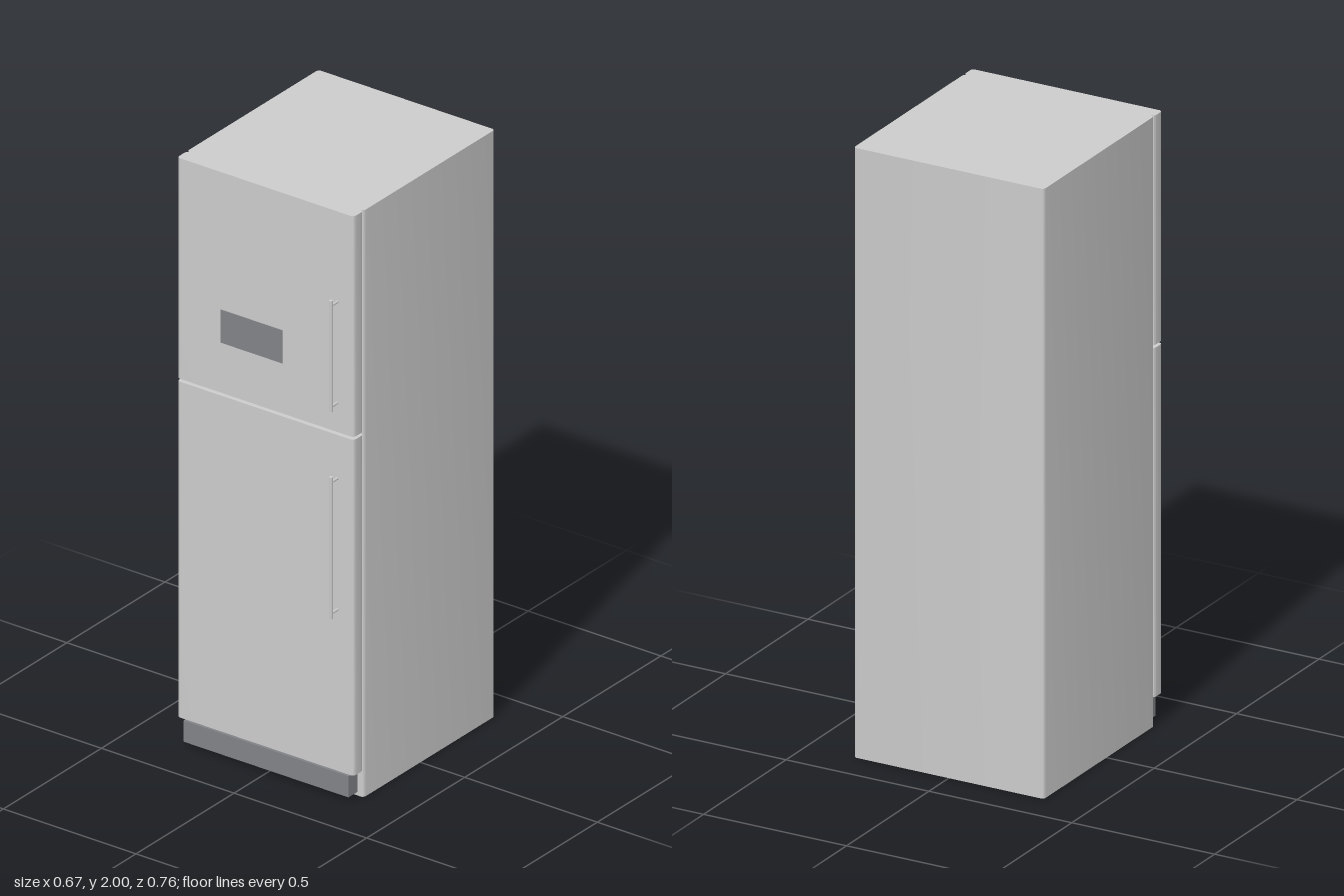
import * as THREE from 'three';
import { toCreasedNormals } from 'three/addons/utils/BufferGeometryUtils.js';

const steel = new THREE.MeshStandardMaterial({ color: 0xcccccc });
const dark = new THREE.MeshStandardMaterial({ color: 0x808287 });

// Upright slab whose four vertical edges are rounded
function slab(name, halfWidth, z0, z1, y0, y1, r) {
  const s = new THREE.Shape();
  const a = -halfWidth, b = halfWidth, c = -z1, d = -z0;
  s.moveTo(a + r, c);
  s.lineTo(b - r, c);
  s.absarc(b - r, c + r, r, -Math.PI / 2, 0, false);
  s.lineTo(b, d - r);
  s.absarc(b - r, d - r, r, 0, Math.PI / 2, false);
  s.lineTo(a + r, d);
  s.absarc(a + r, d - r, r, Math.PI / 2, Math.PI, false);
  s.lineTo(a, c + r);
  s.absarc(a + r, c + r, r, Math.PI, Math.PI * 1.5, false);
  const g = new THREE.ExtrudeGeometry(s, { depth: y1 - y0, bevelEnabled: false, curveSegments: 6 });
  g.rotateX(-Math.PI / 2).translate(0, y0, 0);
  const mesh = new THREE.Mesh(toCreasedNormals(g, 0.6), steel);
  mesh.name = name;
  return mesh;
}

function box(name, x0, x1, y0, y1, z0, z1) {
  const mesh = new THREE.Mesh(new THREE.BoxGeometry(x1 - x0, y1 - y0, z1 - z0), dark);
  mesh.position.set((x0 + x1) / 2, (y0 + y1) / 2, (z0 + z1) / 2);
  mesh.name = name;
  return mesh;
}

// Vertical bar held off the door by two short posts
function handle(name, y0, y1) {
  const group = new THREE.Group();
  group.name = name;
  const x = 0.271, z = 0.372;
  const bar = new THREE.Mesh(new THREE.CylinderGeometry(0.006, 0.006, y1 - y0, 16), steel);
  bar.position.set(x, (y0 + y1) / 2, z);
  bar.name = 'handleBar';
  group.add(bar);
  for (const y of [y0 + 0.018, y1 - 0.018]) {
    const post = new THREE.Mesh(new THREE.CylinderGeometry(0.0045, 0.0045, 0.036, 12), steel);
    post.rotation.x = Math.PI / 2;
    post.position.set(x, y, 0.354);
    post.name = 'handlePost';
    group.add(post);
  }
  return group;
}

export function createModel() {
  const model = new THREE.Group();
  model.name = 'refrigerator';
  model.add(
    // Cabinet and the two doors
    slab('cabinet', 0.333, -0.38, 0.29, 0, 2, 0.012),
    slab('upperDoor', 0.333, 0.29, 0.34, 1.248, 2, 0.012),
    slab('lowerDoor', 0.333, 0.29, 0.34, 0.093, 1.238, 0.012),
    // Door fittings and base
    handle('upperHandle', 1.33, 1.71),
    handle('lowerHandle', 0.625, 1.108),
    box('controlPanel', -0.168, 0.065, 1.42, 1.532, 0.335, 0.343),
    box('kickPlate', -0.311, 0.311, 0.013, 0.085, 0.285, 0.337)
  );
  return model;
}
